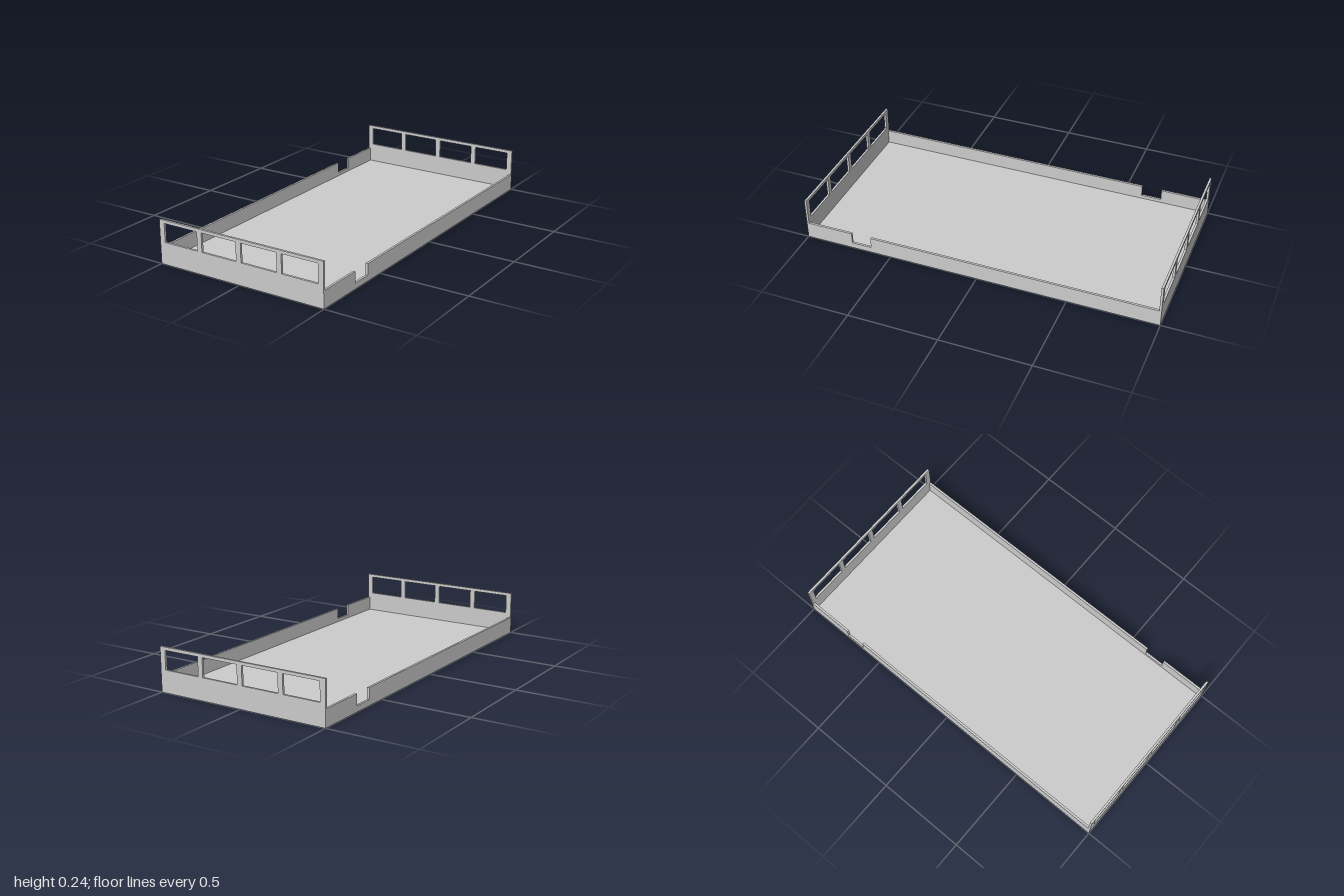
import * as THREE from 'three';

const T = 0.0125; // sheet thickness
const END_H = 0.243, SIDE_H = 0.094;

export function createModel() {
  const tray = new THREE.Group();
  tray.name = 'tray';
  const material = new THREE.MeshStandardMaterial({ color: 0xcccccc, flatShading: true });

  const sheet = (shape) => new THREE.ExtrudeGeometry(shape, { depth: T, bevelEnabled: false });
  const polygon = (points) => new THREE.Shape(points.map(([x, y]) => new THREE.Vector2(x, y)));

  // Floor panel
  const floor = new THREE.Mesh(new THREE.BoxGeometry(1 - 2 * T, T, 2 - 2 * T), material);
  floor.name = 'floor';
  floor.position.y = T / 2;
  tray.add(floor);

  // Tall end wall with four windows
  const endShape = polygon([[-0.5, 0], [0.5, 0], [0.5, END_H], [-0.5, END_H]]);
  for (const [a, b] of [[-0.469, -0.258], [-0.229, -0.015], [0.015, 0.229], [0.258, 0.469]]) {
    endShape.holes.push(new THREE.Path([[a, 0.122], [a, 0.226], [b, 0.226], [b, 0.122]]
      .map(([x, y]) => new THREE.Vector2(x, y))));
  }
  const endGeometry = sheet(endShape).translate(0, 0, 1 - T);

  // Low side wall with a notch in its top edge, turned to face +x
  const e = 1 - T;
  const sideGeometry = sheet(polygon([
    [-e, 0], [e, 0], [e, SIDE_H], [-0.615, SIDE_H],
    [-0.615, 0.032], [-0.728, 0.032], [-0.728, SIDE_H], [-e, SIDE_H],
  ])).rotateY(Math.PI / 2).translate(0.5 - T, 0, 0);

  // Each wall repeats after a half turn about the vertical axis
  const walls = [
    ['frontWall', endGeometry, 0], ['backWall', endGeometry, Math.PI],
    ['leftWall', sideGeometry, 0], ['rightWall', sideGeometry, Math.PI],
  ];
  for (const [name, geometry, turn] of walls) {
    const wall = new THREE.Mesh(geometry, material);
    wall.name = name;
    wall.rotation.y = turn;
    tray.add(wall);
  }
  return tray;
}
